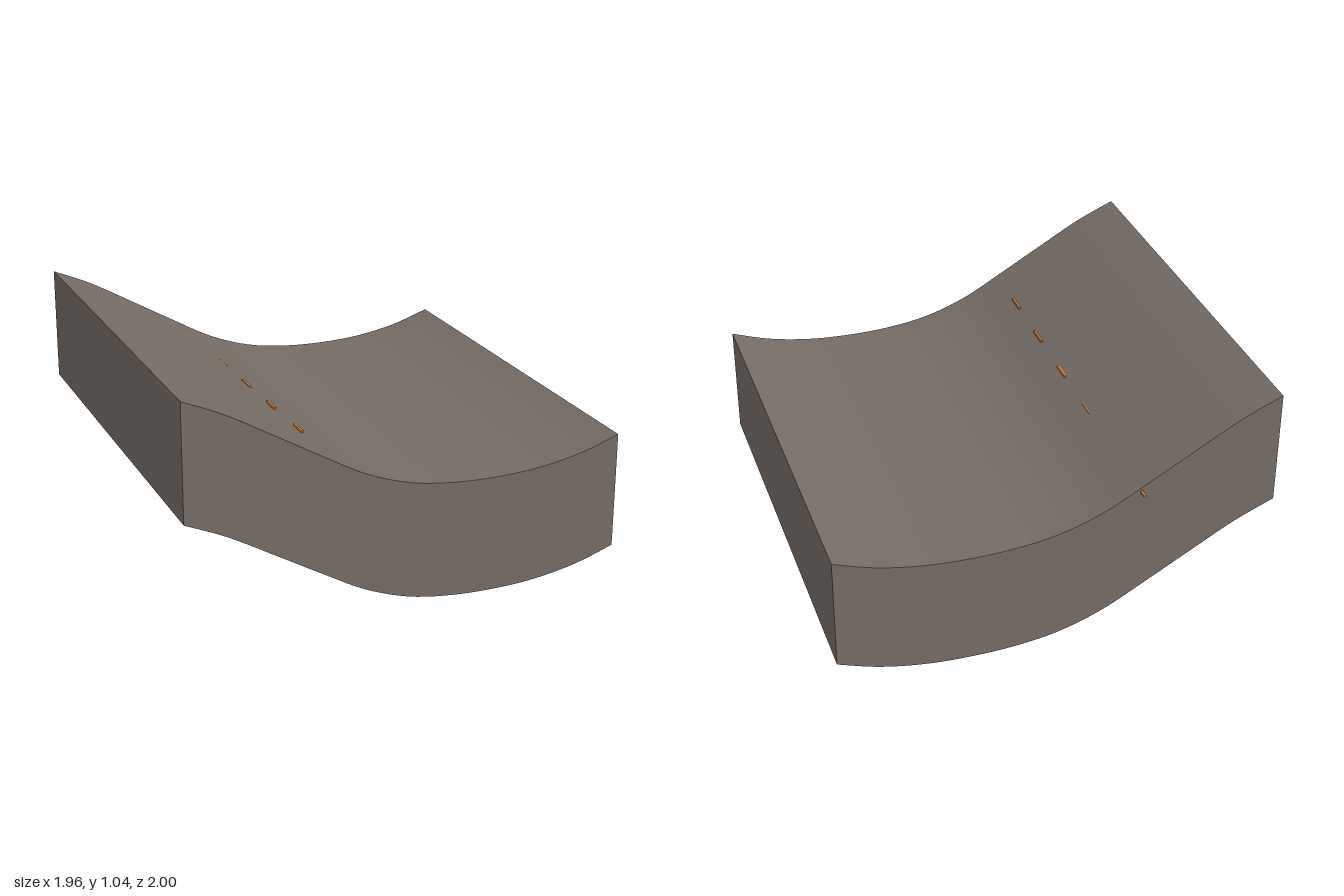
import * as THREE from 'three';

const X = 0.98, Z0 = -0.96, Z1 = 1.0, DEPTH = 0.52, COLS = 50;
const LENGTH = Z1 - Z0, MID = (Z0 + Z1) / 2;

// Height profile of the wavy surface, from the high end to the low end
const profile = new THREE.SplineCurve([
  [-0.98, 1.045], [-0.8, 0.965], [-0.6, 0.852], [-0.4, 0.737], [-0.2, 0.627], [0, 0.557],
  [0.2, 0.527], [0.4, 0.521], [0.6, 0.533], [0.8, 0.57], [0.98, 0.63],
].map(([x, y]) => new THREE.Vector2(x, y)));

// Bend a plane so that each column follows the profile
function bend(geometry) {
  const pos = geometry.attributes.position;
  for (let i = 0; i < pos.count; i++) {
    const t = THREE.MathUtils.clamp((pos.getX(i) + X) / (2 * X), 0, 1);
    const p = profile.getPoint(t);
    pos.setX(i, p.x);
    pos.setY(i, pos.getY(i) + p.y);
  }
  geometry.computeVertexNormals();
  return geometry;
}

export function createModel() {
  const model = new THREE.Group();
  const stone = new THREE.MeshStandardMaterial({ color: 0x756c65, side: THREE.DoubleSide });
  stone.name = 'warm grey';
  const orange = new THREE.MeshStandardMaterial({ color: 0xd07a30 });
  orange.name = 'orange';

  const add = (name, geometry, material, x, y, z) => {
    const mesh = new THREE.Mesh(geometry, material);
    mesh.name = name;
    mesh.position.set(x, y, z);
    model.add(mesh);
  };

  // Wavy top sheet
  const top = new THREE.PlaneGeometry(2 * X, LENGTH, COLS, 1).rotateX(-Math.PI / 2);
  add('topSurface', bend(top), stone, 0, 0, MID);

  // Curved side walls; the underside stays open
  const wall = () => new THREE.PlaneGeometry(2 * X, DEPTH, COLS, 1).translate(0, -DEPTH / 2, 0);
  add('frontWall', bend(wall()), stone, 0, 0, Z1);
  add('backWall', bend(wall().rotateY(Math.PI)), stone, 0, 0, Z0);

  // Flat end walls
  for (const [name, side, y] of [['highEndWall', -1, 1.045], ['lowEndWall', 1, 0.63]]) {
    const end = new THREE.PlaneGeometry(LENGTH, DEPTH).rotateY(side * Math.PI / 2);
    add(name, end, stone, side * X, y - DEPTH / 2, MID);
  }

  // Dashed marker line that slopes gently through the surface
  for (let i = 0; i < 6; i++) {
    const z = 0.675 - i * 0.325;
    const dash = new THREE.BoxGeometry(0.011, 0.011, 0.1);
    add('markerDash' + (i + 1), dash, orange, -0.364 - 0.005 * z, 0.718 + 0.025 * z, z);
  }
  return model;
}
